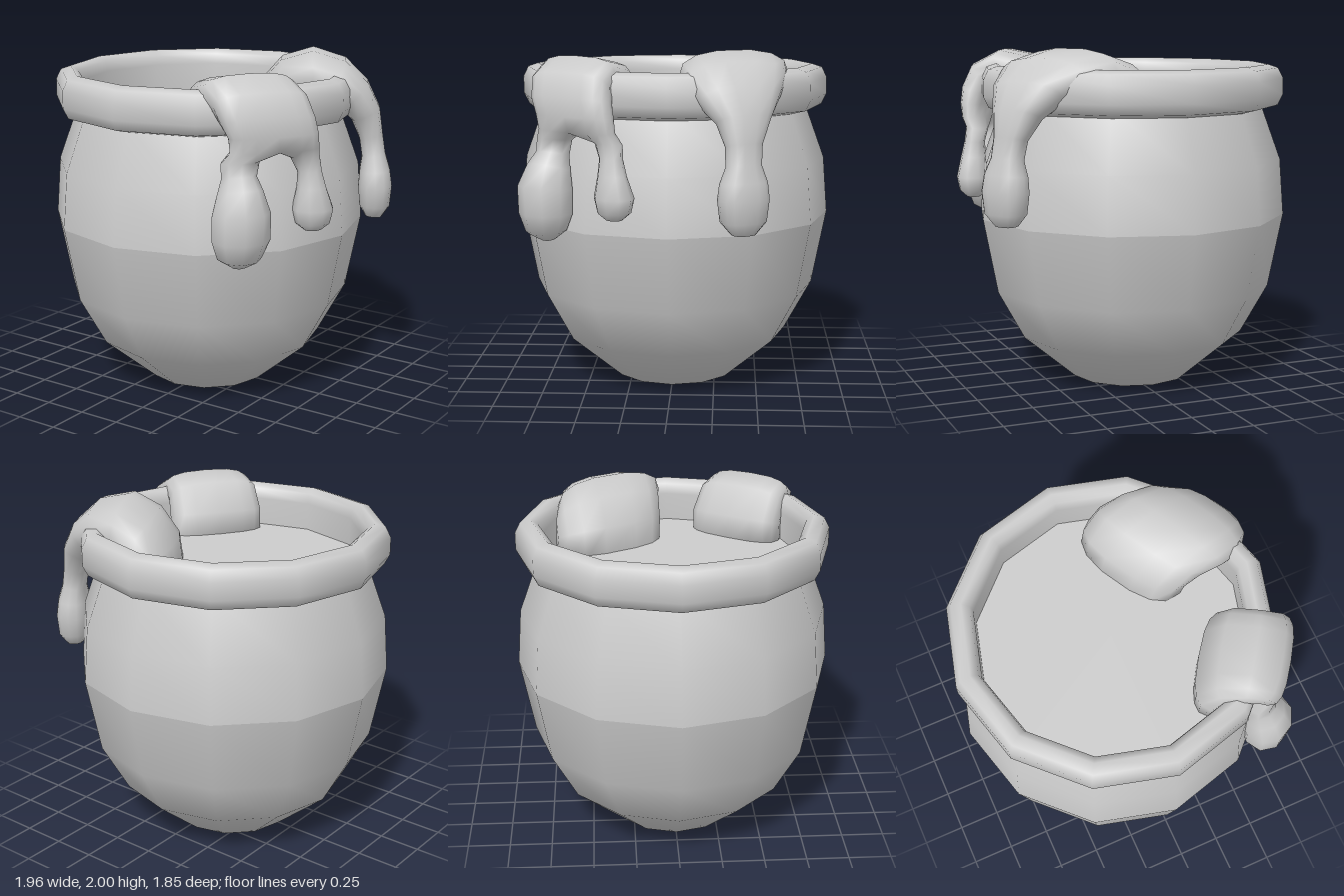
import * as THREE from 'three';

const material = new THREE.MeshStandardMaterial({ color: 0xcccccc });
const SIDES = 12;

function addMesh(parent, name, geometry) {
  const mesh = new THREE.Mesh(geometry, material);
  mesh.name = name;
  parent.add(mesh);
  return mesh;
}

// Twelve-sided turned part from [radius, y] pairs
const turned = (profile) =>
  new THREE.LatheGeometry(profile.map(([r, y]) => new THREE.Vector2(r, y)), SIDES);

// Skin of rings strung along paths. Each section is [x, y, z, halfWidth, halfThickness];
// the width runs along the horizontal direction "across".
class Skin {
  positions = [];
  index = [];

  constructor(across) {
    this.across = across.clone().normalize();
  }

  // One ring of vertex numbers per section, with points at the given angles
  rings(sections, angles, squareness) {
    const centers = sections.map(([x, y, z]) => new THREE.Vector3(x, y, z));
    const bend = (v) => Math.sign(v) * Math.abs(v) ** squareness;
    return sections.map(([, , , w, t], i) => {
      const normal = centers[Math.min(i + 1, centers.length - 1)].clone()
        .sub(centers[Math.max(i - 1, 0)]).cross(this.across).normalize();
      return angles.map((a) => {
        const p = centers[i].clone()
          .addScaledVector(this.across, w * bend(Math.cos(a)))
          .addScaledVector(normal, t * bend(Math.sin(a)));
        return this.positions.push(p.x, p.y, p.z) / 3 - 1;
      });
    });
  }

  join(rings) {
    for (let i = 1; i < rings.length; i++) {
      const [a, b] = [rings[i - 1], rings[i]];
      a.forEach((_, j) => {
        const k = (j + 1) % a.length;
        this.index.push(a[j], a[k], b[k], a[j], b[k], b[j]);
      });
    }
  }

  cap(ring) {
    for (let j = 1; j < ring.length - 1; j++) this.index.push(ring[0], ring[j], ring[j + 1]);
  }

  geometry() {
    const geometry = new THREE.BufferGeometry();
    geometry.setAttribute('position', new THREE.Float32BufferAttribute(this.positions, 3));
    geometry.setIndex(this.index);
    geometry.computeVertexNormals();
    return geometry;
  }
}

const circle = (count, first = 0) =>
  Array.from({ length: count }, (_, j) => first + (j / count) * Math.PI * 2);

// Front spill: one sheet over the rim whose last ring splits into two drips
function frontSpill() {
  const out = new THREE.Vector3(0.82, 0, 0.57);
  const across = new THREE.Vector3(0.57, 0, -0.82);
  const skin = new Skin(across);
  const sheet = [
    // distance outward, y, sideways shift, half width, half thickness
    [0.62, 1.58, -0.08, 0.29, 0.12], [0.62, 1.74, -0.08, 0.29, 0.12],
    [0.69, 1.84, -0.08, 0.28, 0.12], [0.79, 1.87, -0.07, 0.27, 0.10],
    [0.88, 1.82, -0.04, 0.27, 0.10], [0.92, 1.73, -0.01, 0.27, 0.09],
    [0.93, 1.65, 0.02, 0.26, 0.08], [0.925, 1.57, 0.03, 0.26, 0.07],
  ].map(([s, y, side, w, t]) => {
    const p = out.clone().multiplyScalar(s).addScaledVector(across, side);
    return [p.x - 0.05, y, p.z, w, t];
  });
  const body = skin.rings(sheet, circle(16), 0.7);
  skin.join(body);
  skin.cap([...body[0]].reverse());

  const split = body[body.length - 1];
  const smallDrip = [
    [0.81, 1.51, 0.32, 0.085, 0.065], [0.83, 1.43, 0.305, 0.07, 0.06],
    [0.84, 1.34, 0.3, 0.085, 0.075], [0.845, 1.22, 0.29, 0.12, 0.1],
    [0.845, 1.14, 0.29, 0.1, 0.085], [0.845, 1.1, 0.29, 0.05, 0.04],
  ];
  const largeDrip = [
    [0.59, 1.51, 0.64, 0.11, 0.085], [0.59, 1.43, 0.65, 0.1, 0.09],
    [0.61, 1.35, 0.67, 0.13, 0.12], [0.63, 1.24, 0.69, 0.165, 0.15],
    [0.63, 1.1, 0.69, 0.165, 0.14], [0.62, 1.0, 0.69, 0.125, 0.11],
    [0.61, 0.95, 0.68, 0.05, 0.04],
  ];
  // The two halves of the split ring share the edge that forms the arch
  [[smallDrip, 12, 0], [largeDrip, 4, Math.PI]].forEach(([drip, start, facing]) => {
    const half = Array.from({ length: 9 }, (_, j) => split[(start + j) % 16]);
    const rings = skin.rings(drip, circle(9, facing - Math.PI * 8 / 9), 1);
    skin.join([half, ...rings]);
    skin.cap(rings[rings.length - 1]);
  });
  return skin.geometry();
}

// Back spill: a broad mound narrowing into one long drip
function backSpill() {
  const skin = new Skin(new THREE.Vector3(0.48, 0, 0.88));
  const rings = skin.rings([
    [0.24, 1.58, -0.37, 0.33, 0.16], [0.27, 1.72, -0.37, 0.34, 0.17],
    [0.35, 1.81, -0.37, 0.35, 0.16], [0.47, 1.86, -0.36, 0.35, 0.14],
    [0.61, 1.83, -0.37, 0.32, 0.13], [0.72, 1.75, -0.39, 0.25, 0.11],
    [0.79, 1.64, -0.41, 0.16, 0.09], [0.83, 1.51, -0.41, 0.105, 0.07],
    [0.85, 1.4, -0.41, 0.1, 0.07], [0.86, 1.31, -0.41, 0.135, 0.09],
    [0.865, 1.22, -0.41, 0.145, 0.1], [0.865, 1.1, -0.41, 0.13, 0.09],
    [0.86, 1.03, -0.41, 0.07, 0.05],
  ], circle(14), 0.8);
  skin.join(rings);
  skin.cap([...rings[0]].reverse());
  skin.cap(rings[rings.length - 1]);
  return skin.geometry();
}

export function createModel() {
  const model = new THREE.Group();
  model.name = 'honeyPot';

  // Pot body, in two halves with a shading seam at the belly
  const pot = new THREE.Group();
  pot.name = 'pot';
  pot.position.x = -0.05;
  model.add(pot);
  addMesh(pot, 'lowerBody', turned([[0, 0], [0.36, 0], [0.68, 0.27], [0.84, 0.56], [0.925, 1]]));
  addMesh(pot, 'upperBody', turned([[0.925, 1], [0.9, 1.33], [0.78, 1.66]]));

  // Thick rounded rim and the honey filling
  addMesh(pot, 'rim', turned([
    [0.76, 1.62], [0.82, 1.635], [0.88, 1.65], [0.91, 1.71], [0.91, 1.81],
    [0.88, 1.87], [0.82, 1.89], [0.775, 1.86], [0.76, 1.8], [0.76, 1.62],
  ]));
  const surface = addMesh(pot, 'honeySurface', new THREE.CircleGeometry(0.77, SIDES));
  surface.rotation.x = -Math.PI / 2;
  surface.position.y = 1.635;

  addMesh(model, 'frontSpill', frontSpill());
  addMesh(model, 'backSpill', backSpill());
  return model;
}
